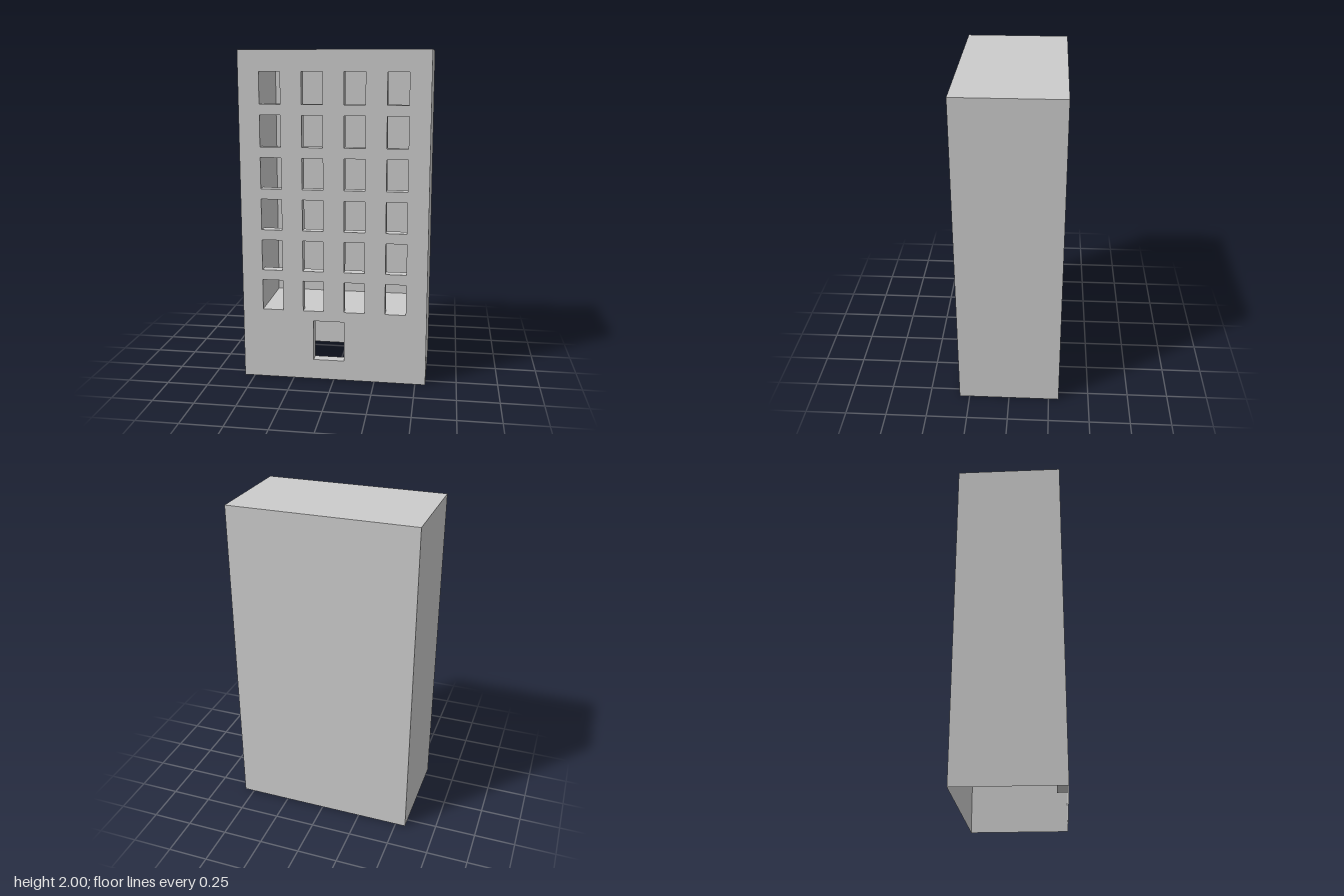
import * as THREE from 'three';

const W = 1.125, H = 2, D = 0.625, FRONT = D / 2, WALL = 0.0625;
const material = new THREE.MeshStandardMaterial({ color: 0xcccccc, side: THREE.DoubleSide });

// Box side numbers: 0 +x, 1 -x, 2 +y, 3 -y, 4 +z, 5 -z
function openBox(name, [x, y, w, h], zBack, zFront, openSides) {
  const geometry = new THREE.BoxGeometry(w, h, zFront - zBack);
  const index = Array.from(geometry.index.array);
  geometry.setIndex(index.filter((_, i) => !openSides.includes(Math.floor(i / 6))));
  geometry.clearGroups();
  geometry.translate(x + w / 2, y + h / 2, (zBack + zFront) / 2);
  const mesh = new THREE.Mesh(geometry, material);
  mesh.name = name;
  return mesh;
}

function tracePath(path, [x, y, w, h]) {
  path.moveTo(x, y);
  path.lineTo(x + w, y);
  path.lineTo(x + w, y + h);
  path.lineTo(x, y + h);
  path.closePath();
  return path;
}

export function createModel() {
  const building = new THREE.Group();
  building.name = 'apartmentBuilding';

  // Openings as [x, y, width, height]
  const door = [-0.125, 0.125, 0.1875, 0.25];
  const windows = [];
  for (let row = 0; row < 6; row++) {
    for (let col = 0; col < 4; col++) {
      windows.push([-0.4375 + col * 0.25, 0.4375 + row * 0.25, 0.125, 0.1875]);
    }
  }

  // Thin outer walls and roof, open at the bottom and front
  building.add(openBox('wallsAndRoof', [-W / 2, 0, W, H], -FRONT, FRONT, [3, 4]));

  // Front wall with its openings
  const outline = tracePath(new THREE.Shape(), [-W / 2, 0, W, H]);
  for (const opening of [door, ...windows]) {
    outline.holes.push(tracePath(new THREE.Path(), opening));
  }
  const frontWall = new THREE.Mesh(new THREE.ShapeGeometry(outline), material);
  frontWall.name = 'frontWall';
  frontWall.position.z = FRONT;
  building.add(frontWall);

  // Frames reaching inward from each opening
  building.add(openBox('doorFrame', door, FRONT - WALL, FRONT, [4, 5]));
  const frames = new THREE.Group();
  frames.name = 'windowFrames';
  for (const opening of windows) {
    frames.add(openBox('windowFrame', opening, FRONT - WALL, FRONT, [4, 5]));
  }
  building.add(frames);

  // One shared room behind all the windows
  building.add(openBox('innerRoom', [-0.4375, 0.4375, 0.875, 1.4375], FRONT - 0.4375, FRONT, [4]));

  return building;
}
